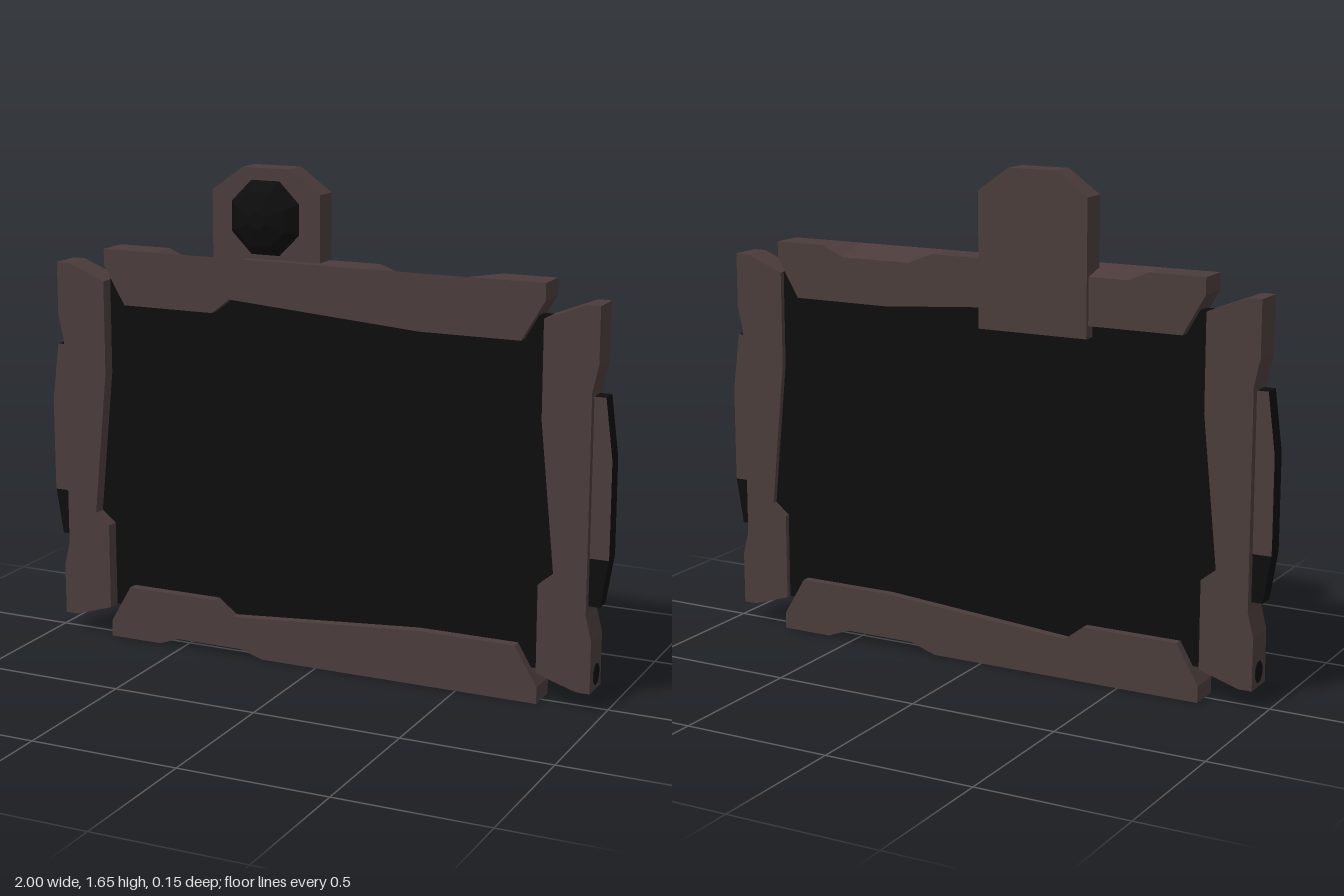
import * as THREE from 'three';

// Solid between a front and a back outline with matching corners (both counter-clockwise seen from the front)
function loft(front, back, zFront, zBack) {
  const pos = [];
  const n = front.length;
  const F = (i) => [...front[i % n], zFront];
  const B = (i) => [...back[i % n], zBack];
  const caps = (pts) => THREE.ShapeUtils.triangulateShape(pts.map((p) => new THREE.Vector2(p[0], p[1])), []);
  for (const [a, b, c] of caps(front)) pos.push(...F(a), ...F(b), ...F(c));
  for (const [a, b, c] of caps(back)) pos.push(...B(a), ...B(c), ...B(b));
  for (let i = 0; i < n; i++) {
    pos.push(...B(i), ...B(i + 1), ...F(i + 1), ...B(i), ...F(i + 1), ...F(i));
  }
  const g = new THREE.BufferGeometry();
  g.setAttribute('position', new THREE.Float32BufferAttribute(pos, 3));
  g.computeVertexNormals();
  return g;
}

// Mirror an outline while keeping its winding
const mirrorX = (pts) => pts.map(([x, y]) => [-x, y]).reverse();
const flipY = (pts) => pts.map(([x, y]) => [x, 1.355 - y]).reverse();

export function createModel() {
  const group = new THREE.Group();
  const frame = new THREE.MeshStandardMaterial({ color: 0x4b3c3b });
  frame.name = 'dark brown casing';
  const black = new THREE.MeshStandardMaterial({ color: 0x0d0d0d });
  black.name = 'black glass';

  const add = (name, geometry, material, x = 0, y = 0, z = 0) => {
    const mesh = new THREE.Mesh(geometry, material);
    mesh.name = name;
    mesh.position.set(x, y, z);
    group.add(mesh);
    return mesh;
  };

  // Display panel
  add('screen', new THREE.BoxGeometry(1.7, 1.14, 0.045), black, 0, 0.678, -0.0075);

  // Top and bottom rails: outer edge carries two shallow dips, d1 on the +x half and d2 on the -x half
  const longRail = (d1, d2) => [
    [-0.78, 1.3], [-0.705, 1.17], [-0.375, 1.17], [-0.31, 1.22], [0.36, 1.17], [0.7, 1.17], [0.777, 1.3],
    [0.777, 1.355], [0.6, 1.355], [0.52, 1.355 - d1], [0.27, 1.355 - d1], [0.18, 1.355],
    [-0.2, 1.355], [-0.28, 1.355 - d2], [-0.52, 1.355 - d2], [-0.59, 1.355], [-0.78, 1.355],
  ];
  add('topRail', loft(longRail(0, 0), longRail(0.035, 0.03), 0.048, -0.062), frame);
  add('bottomRail', loft(flipY(longRail(0, 0.025)), flipY(longRail(0.03, 0)), 0.048, -0.06), frame);

  // Side rails with a relieved outer edge around the grip
  const sideRail = (d) => [
    [0.957, 0.065], [0.957, 0.24], [0.957 - d, 0.32], [0.957 - d, 1.03], [0.957, 1.12], [0.957, 1.3],
    [0.912, 1.3], [0.777, 1.247], [0.777, 0.93], [0.827, 0.44], [0.777, 0.4], [0.777, 0.107], [0.912, 0.065],
  ];
  // Grip strip: black edge, with casing-coloured faces on its upper length
  const gripUpper = [[0.92, 0.5], [0.999, 0.5], [1, 0.53], [1, 0.82], [0.975, 1.015], [0.92, 1.015]];
  const gripLower = [[0.92, 0.345], [0.974, 0.345], [0.999, 0.5], [0.92, 0.5]];
  const extrude = (pts, depth) => new THREE.ExtrudeGeometry(
    new THREE.Shape(pts.map(([x, y]) => new THREE.Vector2(x, y))), { depth, bevelEnabled: false });

  for (const side of [1, -1]) {
    const place = (pts) => (side > 0 ? pts : mirrorX(pts));
    const label = side > 0 ? 'left' : 'right';
    add(label + 'Rail', loft(place(sideRail(0.02)), place(sideRail(0.02)), 0.06, -0.048), frame);
    add(label + 'GripUpper', extrude(place(gripUpper), 0.057), [frame, black], 0, 0, -0.021);
    add(label + 'GripLower', extrude(place(gripLower), 0.057), black, 0, 0, -0.021);
    // Socket on the outer face
    const socket = add(label + 'Socket', new THREE.CylinderGeometry(0.03, 0.03, 0.006, 8, 1, false, Math.PI / 8), black,
      side * 0.957, 0.115, 0.003);
    socket.rotation.z = Math.PI / 2;
    socket.scale.set(1.2, 1, 0.95);
  }

  // Camera plate behind the top rail
  add('cameraPlate', extrude([
    [-0.385, 1.13], [0, 1.13], [0, 1.573], [-0.108, 1.65], [-0.275, 1.65], [-0.385, 1.573],
  ], 0.088), frame, 0, 0, -0.075);

  // Eight-sided domed lens
  const profile = [[0.13, 0], [0.13, 0.004], [0.095, 0.044], [0.03, 0.065], [0, 0.066]];
  const lensGeometry = new THREE.LatheGeometry(
    profile.map(([r, h]) => new THREE.Vector2(r, h)), 8, Math.PI / 8).toNonIndexed();
  lensGeometry.computeVertexNormals();
  const lens = add('lens', lensGeometry, black, -0.193, 1.49, 0.012);
  lens.rotation.x = Math.PI / 2;

  return group;
}
